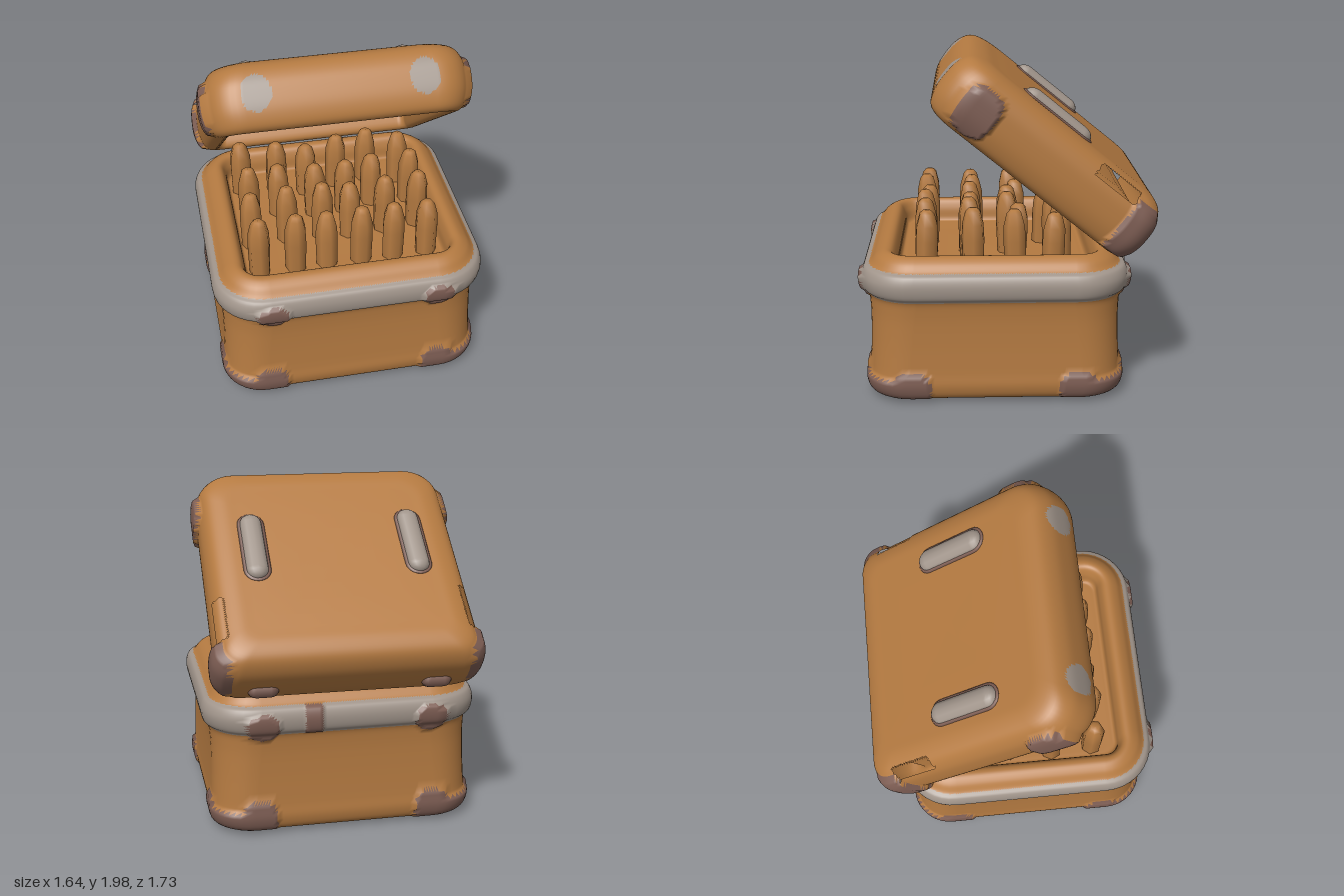
import * as THREE from 'three';

const tan = new THREE.MeshStandardMaterial({ color: 0xb47a41, side: THREE.DoubleSide });
tan.name = 'tan hide';
const grey = new THREE.MeshStandardMaterial({ color: 0xa0948a });
grey.name = 'grey metal';
const dark = new THREE.MeshStandardMaterial({ color: 0x7d5d53 });
dark.name = 'dark brown fittings';
const PALETTE = [tan, grey, dark];
const TORN = -1;

// Point list around a rounded rectangle; the number of points is always the same
function outline(hx, hz, rFront, rBack, sideSegs = 72, cornerSegs = 10) {
  const pts = [];
  const signs = [[1, 1], [-1, 1], [-1, -1], [1, -1]];
  const corner = (c, k) => {
    const a = (c + k / cornerSegs) * Math.PI / 2;
    const r = c < 2 ? rFront : rBack;
    return [signs[c][0] * (hx - r) + r * Math.cos(a), signs[c][1] * (hz - r) + r * Math.sin(a)];
  };
  for (let c = 0; c < 4; c++) {
    for (let k = 0; k < cornerSegs; k++) pts.push(corner(c, k));
    const a = corner(c, cornerSegs), b = corner((c + 1) % 4, 0);
    for (let k = 0; k < sideSegs; k++) {
      const t = k / sideSegs;
      pts.push([a[0] + (b[0] - a[0]) * t, a[1] + (b[1] - a[1]) * t]);
    }
  }
  return pts;
}

// Soft hollow shell: a profile of [half width, height, corner radius] swept round a rounded
// rectangle. paint(x, y, z, halfWidth) picks the colour; dark fittings bulge out a little.
function shell(name, profile, { zInset, backRadius, bulgeX, bulgeZ, paint }) {
  const curve = new THREE.CatmullRomCurve3(
    profile.map(p => new THREE.Vector3(...p)), false, 'centripetal');
  const rows = curve.getPoints((profile.length - 1) * 5);
  const pos = [], flat = [], index = [[], [], []];
  let n = 0;
  for (const { x: s, y, z: r } of rows) {
    const hx = Math.max(0, s), hz = Math.max(0, s - zInset);
    const radius = Math.min(r, hz);
    const loop = outline(hx, hz, radius, radius * backRadius);
    n = loop.length;
    for (const [x, z] of loop) {
      const k = paint(x, y, z, s) === 2 ? 1 : 0;
      pos.push(x * (1 + k * bulgeX), y, z * (1 + k * bulgeZ));
      flat.push([x, y, z, s]);
    }
  }
  const addFace = (...ids) => {
    const mid = [0, 1, 2, 3].map(k => ids.reduce((sum, v) => sum + flat[v][k], 0) / 3);
    const colour = paint(...mid);
    if (colour !== TORN) index[colour].push(...ids);
  };
  for (let j = 0; j < rows.length - 1; j++) {
    for (let i = 0; i < n; i++) {
      const a = j * n + i, b = j * n + (i + 1) % n;
      addFace(a, a + n, b);
      addFace(b, a + n, b + n);
    }
  }
  const geo = new THREE.BufferGeometry();
  geo.setAttribute('position', new THREE.Float32BufferAttribute(pos, 3));
  geo.setIndex(index.flat());
  let start = 0;
  index.forEach((list, m) => {
    if (list.length) geo.addGroup(start, list.length, m);
    start += list.length;
  });
  geo.computeVertexNormals();
  const mesh = new THREE.Mesh(geo, PALETTE);
  mesh.name = name;
  return mesh;
}

// Ellipse test; a higher power makes it squarer
const inOval = (u, v, ru, rv, power = 2) =>
  Math.abs(u / ru) ** power + Math.abs(v / rv) ** power < 1;

function paintBase(x, y, z, s) {
  const ax = Math.abs(x), az = Math.abs(z);
  if (s < 0.7) return 0;
  // Corner feet: a low strip round the corner with a taller rounded lobe on each face
  if (ax > 0.42 && az > 0.38 && y < 0.16) return 2;
  if (az > 0.6 && inOval(ax - 0.51, y - 0.1, 0.1, 0.13, 3)) return 2;
  if (ax > 0.66 && inOval(az - 0.48, y - 0.1, 0.11, 0.11, 3)) return 2;
  // Studs on the front and back of the band, and a strap at the back
  if (az > 0.6 && inOval(ax - 0.49, y - 0.69, 0.093, 0.083, 2.4)) return 2;
  const inBand = y > 0.642 && y < 0.812;
  if (inBand && z < -0.6 && Math.abs(x - 0.2) < 0.05) return 2;
  return inBand ? 1 : 0;
}

function paintLid(x, y, z, s) {
  const ax = Math.abs(x);
  if (s < 0.68) return 0;
  // Torn slits along the upper side edges, near the back
  const along = (z + 0.53) / 0.28;
  if (ax > 0.69 && along > 0 && along < 1 && y > 0.105 && y < 0.18) return TORN;
  // Side pads, rear corner guards, grey front studs
  if (ax > 0.6 && inOval(z - 0.485, y + 0.03, 0.117, 0.146, 3)) return 2;
  if (ax > 0.68 && z < -0.54 && y < 0.15 && y > -0.185) return 2;
  if (z > 0.6 && inOval(ax - 0.48, y - 0.01, 0.088, 0.105)) return 1;
  return 0;
}

// Flattened capsule lying along z
function pad(name, mat, r, length, height) {
  const geo = new THREE.CapsuleGeometry(r, length, 5, 12);
  geo.rotateX(Math.PI / 2);
  geo.scale(1, height / r, 1);
  const mesh = new THREE.Mesh(geo, mat);
  mesh.name = name;
  return mesh;
}

function createLid() {
  const lid = new THREE.Group();
  lid.name = 'lid';
  lid.add(shell('lidShell', [
    [0, 0.09, 0], [0.56, 0.09, 0.07], [0.61, 0.05, 0.07], [0.62, -0.08, 0.07], [0.63, -0.18, 0.08],
    [0.67, -0.2, 0.12], [0.725, -0.175, 0.18], [0.755, -0.1, 0.2], [0.762, 0, 0.2],
    [0.752, 0.09, 0.2], [0.71, 0.165, 0.18], [0.63, 0.2, 0.15], [0.52, 0.205, 0.12], [0, 0.205, 0],
  ], { zInset: 0.025, backRadius: 0.6, bulgeX: 0.04, bulgeZ: 0, paint: paintLid }));
  for (const side of [-1, 1]) {
    const edge = pad('ridgeBorder', dark, 0.08, 0.34, 0.014);
    const ridge = pad('lidRidge', grey, 0.066, 0.34, 0.05);
    edge.position.set(side * 0.475, 0.206, 0.08);
    ridge.position.copy(edge.position);
    lid.add(edge, ridge);
  }
  lid.position.set(0, 1.447, -0.225);
  lid.rotation.x = -0.68;
  return lid;
}

function createPegs() {
  const pegs = new THREE.Group();
  pegs.name = 'pegs';
  const profile = [[0.064, 0], [0.068, 0.2], [0.064, 0.29], [0.045, 0.365], [0.026, 0.385], [0, 0.387]];
  const geo = new THREE.LatheGeometry(profile.map(p => new THREE.Vector2(...p)), 7);
  const xs = [-0.52, -0.31, -0.1, 0.09, 0.29, 0.51];
  const zs = [0.475, 0.21, -0.04, -0.29];
  zs.forEach((z, j) => xs.forEach((x, i) => {
    const peg = new THREE.Mesh(geo, tan);
    peg.name = 'peg';
    const wobble = Math.sin(i * 2.3 + j * 4.1);
    peg.position.set(x + wobble * 0.012, 0.74, z + Math.cos(i * 1.7 + j) * 0.015 * j);
    peg.scale.y = 1 + wobble * 0.04 - (j > 1 ? 0.05 : 0);
    peg.rotation.set(wobble * 0.04, i + j * 2, 0);
    pegs.add(peg);
  }));
  return pegs;
}

export function createModel() {
  const model = new THREE.Group();
  model.name = 'openChest';

  // Hollow body with a raised band and a soft rim
  const base = shell('base', [
    [0, 0.035, 0], [0.68, 0.03, 0.22], [0.755, 0.055, 0.23], [0.78, 0.12, 0.23], [0.775, 0.21, 0.23],
    [0.768, 0.4, 0.24], [0.77, 0.56, 0.26], [0.782, 0.64, 0.28], [0.81, 0.67, 0.3],
    [0.82, 0.74, 0.3], [0.803, 0.795, 0.29], [0.77, 0.815, 0.26], [0.73, 0.86, 0.22],
    [0.68, 0.887, 0.17], [0.64, 0.875, 0.12], [0.615, 0.82, 0.09], [0.6, 0.745, 0.08],
    [0.56, 0.74, 0.07], [0, 0.74, 0],
  ], { zInset: 0.04, backRadius: 1, bulgeX: 0.02, bulgeZ: 0.025, paint: paintBase });
  base.position.z = 0.07;
  model.add(base, createPegs(), createLid());

  // Hinges between the rear rim and the lid
  for (const side of [-1, 1]) {
    const hinge = new THREE.Mesh(new THREE.CapsuleGeometry(0.05, 0.08, 4, 10), dark);
    hinge.name = 'hinge';
    hinge.rotation.z = Math.PI / 2;
    hinge.position.set(side * 0.5, 0.94, -0.74);
    model.add(hinge);
  }
  return model;
}
